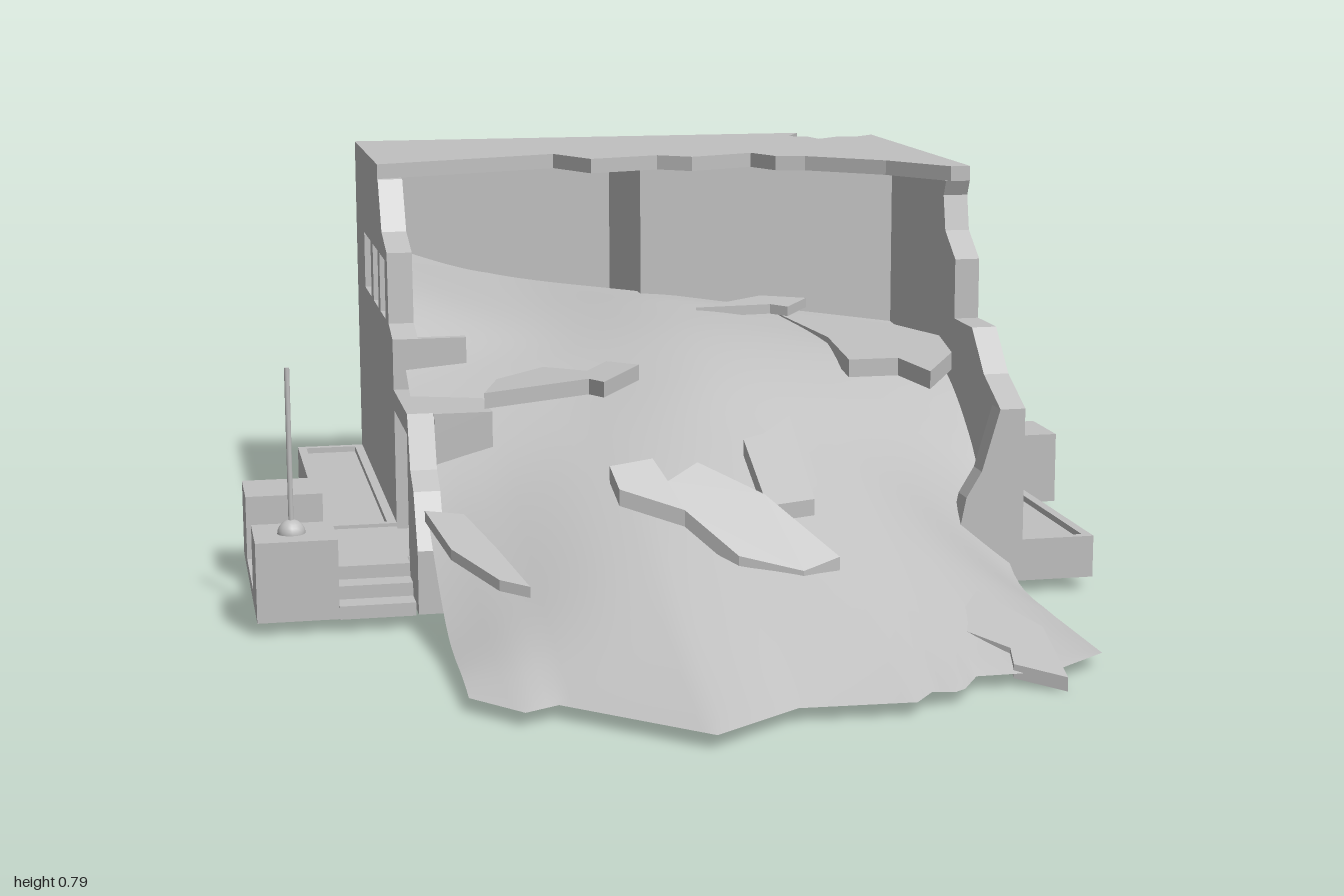
import * as THREE from 'three';

const concrete = new THREE.MeshStandardMaterial({ color: 0xc0c0c0 });
concrete.name = 'concrete grey';
const openGrey = new THREE.MeshStandardMaterial({ color: 0xc0c0c0, side: THREE.DoubleSide });
openGrey.name = 'open surface grey';

function add(parent, name, geo, mat = concrete) {
  const m = new THREE.Mesh(geo, mat);
  m.name = name;
  parent.add(m);
  return m;
}

// box given by its limits on each axis
function box(parent, name, x0, x1, y0, y1, z0, z1) {
  const g = new THREE.BoxGeometry(x1 - x0, y1 - y0, z1 - z0);
  g.translate((x0 + x1) / 2, (y0 + y1) / 2, (z0 + z1) / 2);
  return add(parent, name, g);
}

// hollow box without its underside
function shell(...args) {
  const m = box(...args);
  const idx = Array.from(m.geometry.index.array);
  idx.splice(18, 6);
  m.geometry.setIndex(idx);
  m.geometry.clearGroups();
  m.material = openGrey;
}

const toShape = pts => new THREE.Shape(pts.map(p => new THREE.Vector2(p[0], p[1])));

// upright slab with rectangular holes [a0, a1, y0, y1]
function wallGeo(pts, holes = []) {
  const s = toShape(pts);
  for (const [a, b, c, d] of holes) {
    s.holes.push(new THREE.Path([[a, c], [a, d], [b, d], [b, c]].map(p => new THREE.Vector2(...p))));
  }
  return new THREE.ExtrudeGeometry(s, { depth: 0.05, bevelEnabled: false });
}

// flat slab from an (x, z) outline, tilted by y = top + sx * x + sz * z
function slabGeo(pts, thick, top, sx = 0, sz = 0) {
  const g = new THREE.ExtrudeGeometry(toShape(pts), { depth: thick, bevelEnabled: false });
  g.rotateX(Math.PI / 2);
  const p = g.attributes.position;
  for (let i = 0; i < p.count; i++) {
    p.setY(i, p.getY(i) + top + sx * p.getX(i) + sz * p.getZ(i));
  }
  g.computeVertexNormals();
  return g;
}

// recessed double door, opening toward +z
function doorway(h) {
  const d = new THREE.Group();
  d.name = 'doorway';
  for (const s of [-1, 1]) box(d, 'jamb', s * 0.13 - 0.01, s * 0.13 + 0.01, 0.06, h, -0.15, -0.05);
  box(d, 'lintel', -0.14, 0.14, h, h + 0.04, -0.15, -0.05);
  box(d, 'threshold', -0.12, 0.12, 0.06, 0.1, -0.15, -0.002);
  box(d, 'doorPanel', -0.14, 0.14, 0.06, h + 0.04, -0.16, -0.15);
  for (const x of [-0.115, -0.006, 0.006, 0.115]) box(d, 'doorStile', x - 0.005, x + 0.005, 0.1, h, -0.15, -0.14);
  for (let y = 0.11; y < h; y += 0.1) {
    for (const s of [-1, 1]) {
      if (s > 0 || y > 0.3) box(d, 'doorRail', s * 0.06 - 0.05, s * 0.06 + 0.05, y, y + 0.012, -0.15, -0.14);
    }
  }
  box(d, 'lowerDoorPanel', -0.11, -0.011, 0.1, 0.31, -0.15, -0.142);
  return d;
}

// corner entrance with landing, two stairs, pedestals, mast and planter
function entrance(doorHeight) {
  const e = new THREE.Group();
  e.name = 'entrance';
  const B = 0.03;
  shell(e, 'landing', 0.585, 0.73, B, 0.105, -0.85, -0.6);
  for (let i = 0; i < 3; i++) {
    const top = 0.105 - i * 0.025, a = i * 0.05;
    shell(e, 'sideStep', 0.73 + a, 0.78 + a, B, top, -0.845, -0.605);
    shell(e, 'endStep', 0.59, 0.73, B, top, -0.9 - a, -0.85 - a);
  }
  shell(e, 'pedestal', 0.73, 0.88, B, 0.18, -0.605, -0.455);
  shell(e, 'mastPedestal', 0.73, 0.88, B, 0.18, -0.995, -0.845);
  const foot = add(e, 'mastFoot', new THREE.SphereGeometry(0.026, 16, 6, 0, Math.PI * 2, 0, Math.PI / 2));
  foot.position.set(0.81, 0.18, -0.925);
  const mast = add(e, 'mast', new THREE.CylinderGeometry(0.005, 0.005, 0.31, 10));
  mast.position.set(0.81, 0.335, -0.925);
  shell(e, 'planterBed', 0.585, 0.73, B, 0.1, -0.6, 0.185);
  for (const x of [0.585, 0.712]) box(e, 'planterRim', x, x + 0.018, 0.1, 0.112, -0.6, 0.185);
  for (const z of [-0.6, 0.167]) box(e, 'planterRim', 0.603, 0.712, 0.1, 0.112, z, z + 0.018);
  const d = doorway(doorHeight);
  d.rotation.y = Math.PI / 2;
  d.position.set(0.585, 0, -0.72);
  e.add(d);
  return e;
}

// smooth sloping heap: heights across x for successive rows in z
function rubbleGeo() {
  const zs = [-0.75, -0.45, -0.2, 0, 0.2, 0.45, 0.7, 0.87];
  const firstZ = [-0.94, -0.94, -0.6, -0.58, -0.58];
  const hs = [
    [0.58, 0.5, 0.5, 0.46, 0.42], [0.54, 0.48, 0.5, 0.46, 0.41],
    [0.41, 0.44, 0.48, 0.44, 0.39], [0.31, 0.37, 0.43, 0.38, 0.27],
    [0.17, 0.29, 0.34, 0.27, 0.06], [0.06, 0.19, 0.22, 0.17, 0.03],
    [0.04, 0.09, 0.11, 0.08, 0.03], [0.03, 0.03, 0.03, 0.03, 0.03]];
  // ragged front edge
  const edge = [[-0.56, 0.72], [-0.48, 0.82], [-0.42, 0.79], [-0.2, 1], [-0.04, 0.89], [0.16, 0.9],
    [0.2, 0.85], [0.25, 0.86], [0.3, 0.78], [0.38, 0.78], [0.45, 0.77], [0.56, 0.69]];
  const edgeZ = x => {
    let i = 0;
    while (i < edge.length - 2 && x > edge[i + 1][0]) i++;
    const [a, b] = [edge[i], edge[i + 1]];
    return a[1] + (b[1] - a[1]) * (x - a[0]) / (b[0] - a[0]);
  };
  const nx = 56, nz = 48;
  const g = new THREE.PlaneGeometry(1, 1, nx, nz);
  const columns = firstZ.map((z0, c) => new THREE.CatmullRomCurve3(
    zs.map((z, r) => new THREE.Vector3(-0.56 + c * 0.28, hs[r][c], r ? z : z0)), false, 'catmullrom', 0.5));
  const p = g.attributes.position;
  for (let j = 0; j <= nz; j++) {
    const v = j / nz;
    const row = new THREE.CatmullRomCurve3(columns.map(c => c.getPoint(v)), false, 'catmullrom', 0.5);
    for (let i = 0; i <= nx; i++) {
      const q = row.getPoint(i / nx);
      const z = q.z + (edgeZ(q.x) - 0.87) * v ** 6;
      p.setXYZ(j * (nx + 1) + i, q.x, Math.max(q.y, 0.03), z);
    }
  }
  g.computeVertexNormals();
  return g;
}

export function createModel() {
  const model = new THREE.Group();
  model.name = 'ruinedBuilding';

  // side walls, outlines in (z, y)
  const W = [0.5, 0.62];
  const rightWindows = [[-0.3, -0.17, ...W], [-0.46, -0.34, ...W]];
  const leftWindows = [[-0.81, -0.66, ...W], [-0.61, -0.5, ...W], [-0.46, -0.35, ...W]];
  const backWindows = [[-0.07, 0.1, ...W], [-0.52, -0.28, ...W]];
  const side = (name, pts, holes, x) => {
    const g = wallGeo(pts, holes);
    g.rotateY(-Math.PI / 2);
    g.translate(x, 0, 0);
    add(model, name, g);
  };
  side('plusXWall', [[-1, 0.03], [0.185, 0.03], [0.185, 0.37], [0.08, 0.42], [0, 0.5], [-0.115, 0.5],
    [-0.115, 0.62], [-0.185, 0.67], [-0.2, 0.74], [-0.185, 0.77], [-0.93, 0.77], [-1, 0.72]],
    [...rightWindows, [-0.84, -0.6, 0.1, 0.62]], 0.585);
  side('minusXWall', [[-1, 0.03], [0.185, 0.03], [0.185, 0.15], [0.13, 0.25], [0.08, 0.28], [0.04, 0.38],
    [-0.215, 0.38], [-0.215, 0.48], [-0.29, 0.5], [-0.3, 0.64], [-0.4, 0.67], [-0.46, 0.77], [-1, 0.77]],
    [...leftWindows, [-0.21, 0.03, 0.1, 0.34]], -0.535);
  box(model, 'brokenJamb', -0.535, -0.44, 0.3, 0.48, -0.235, -0.215);

  // back wall
  const back = wallGeo([[-0.535, 0.03], [0.535, 0.03], [0.535, 0.73], [0.44, 0.77], [-0.535, 0.77]],
    [...backWindows, [0.2, 0.44, 0.1, 0.62]]);
  back.translate(0, 0, -1);
  add(model, 'backWall', back);
  const backDoor = doorway(0.62);
  backDoor.rotation.y = Math.PI;
  backDoor.position.set(0.32, 0, -1);
  model.add(backDoor);

  // windows set back from the outer faces, closed flush on the inside
  for (const [a, b, c, d] of rightWindows) box(model, 'windowPane', 0.535, 0.57, c, d, a, b);
  for (const [a, b, c, d] of leftWindows) box(model, 'windowPane', -0.57, -0.535, c, d, a, b);
  for (const [a, b, c, d] of backWindows) box(model, 'windowPane', a, b, c, d, -0.985, -0.95);

  // inner room walls above the heap
  box(model, 'innerWall', -0.02, 0.535, 0.42, 0.77, -0.585, -0.575);
  box(model, 'partition', -0.02, -0.01, 0.42, 0.77, -0.95, -0.585);

  // remains of the front wall
  for (const [name, pts] of [
    ['frontWallRemnant', [[0.535, 0.37], [0.5, 0.25], [0.47, 0.2], [0.45, 0.1], [0.5, 0.03], [0.535, 0.03]]],
    ['frontWallStub', [[-0.535, 0.15], [-0.5, 0.1], [-0.52, 0.03], [-0.535, 0.03]]]]) {
    const g = wallGeo(pts);
    g.translate(0, 0, 0.135);
    add(model, name, g);
  }

  // broken roof with a sunken back corner
  add(model, 'roof', slabGeo([[-0.585, -1], [-0.585, -0.47], [-0.2, -0.615], [-0.14, -0.49], [0.01, -0.54],
    [0.075, -0.49], [0.215, -0.55], [0.25, -0.47], [0.31, -0.455], [0.45, -0.33], [0.545, -0.185],
    [0.585, -0.185], [0.585, -0.92], [0.54, -0.88], [0.5, -0.89], [0.44, -0.84], [0.43, -0.9], [0.39, -0.92],
    [0.43, -1]], 0.03, 0.8));
  add(model, 'roofChip', slabGeo([[0.38, -0.92], [0.43, -0.99], [0.58, -0.99], [0.58, -0.9], [0.5, -0.86],
    [0.44, -0.83]], 0.012, 1.12, 0, 0.39));

  // entrances, the second turned half around
  model.add(entrance(0.62));
  const other = entrance(0.34);
  other.rotation.y = Math.PI;
  other.position.z = -0.81;
  model.add(other);

  add(model, 'rubbleSlope', rubbleGeo(), openGrey);

  // broken slabs lying on the slope: outline, thickness, height, tilt in x, tilt in z
  const shards = [
    [[[-0.26, 0.38], [-0.18, 0.37], [-0.16, 0.41], [-0.1, 0.38], [0.01, 0.44], [0.12, 0.55], [0.05, 0.57],
      [-0.06, 0.54], [-0.14, 0.46], [-0.25, 0.42]], 0.03, 0.66, 0, -0.85],
    [[[0.01, 0.27], [0.05, 0.26], [0.11, 0.22], [0.11, 0.41], [0.02, 0.42]], 0.03, 0.52, 0, -0.62],
    [[[-0.57, 0.18], [-0.5, 0.2], [-0.46, 0.33], [-0.42, 0.48], [-0.47, 0.45], [-0.54, 0.33]], 0.02, 0.27, 0, -0.25],
    [[[0.38, 0.53], [0.46, 0.66], [0.45, 0.82], [0.37, 0.77], [0.38, 0.72], [0.3, 0.64]], 0.025, 0.26, 0, -0.28],
    [[[0.06, -0.38], [0.22, -0.48], [0.31, -0.44], [0.25, -0.36], [0.22, -0.39]], 0.02, 0.475, 0, -0.06],
    [[[0.25, -0.47], [0.46, -0.33], [0.53, -0.2], [0.51, -0.05], [0.42, 0.1], [0.39, -0.02], [0.29, -0.02],
      [0.3, -0.22]], 0.035, 0.44, 0, -0.06],
    [[[-0.44, 0.05], [-0.4, -0.07], [-0.3, -0.13], [-0.23, -0.03], [-0.18, -0.1], [-0.13, -0.02], [-0.22, 0.1],
      [-0.24, 0.05]], 0.03, 0.46, 0.1, 0]];
  for (const [pts, ...rest] of shards) add(model, 'brokenSlab', slabGeo(pts, ...rest));

  return model;
}
